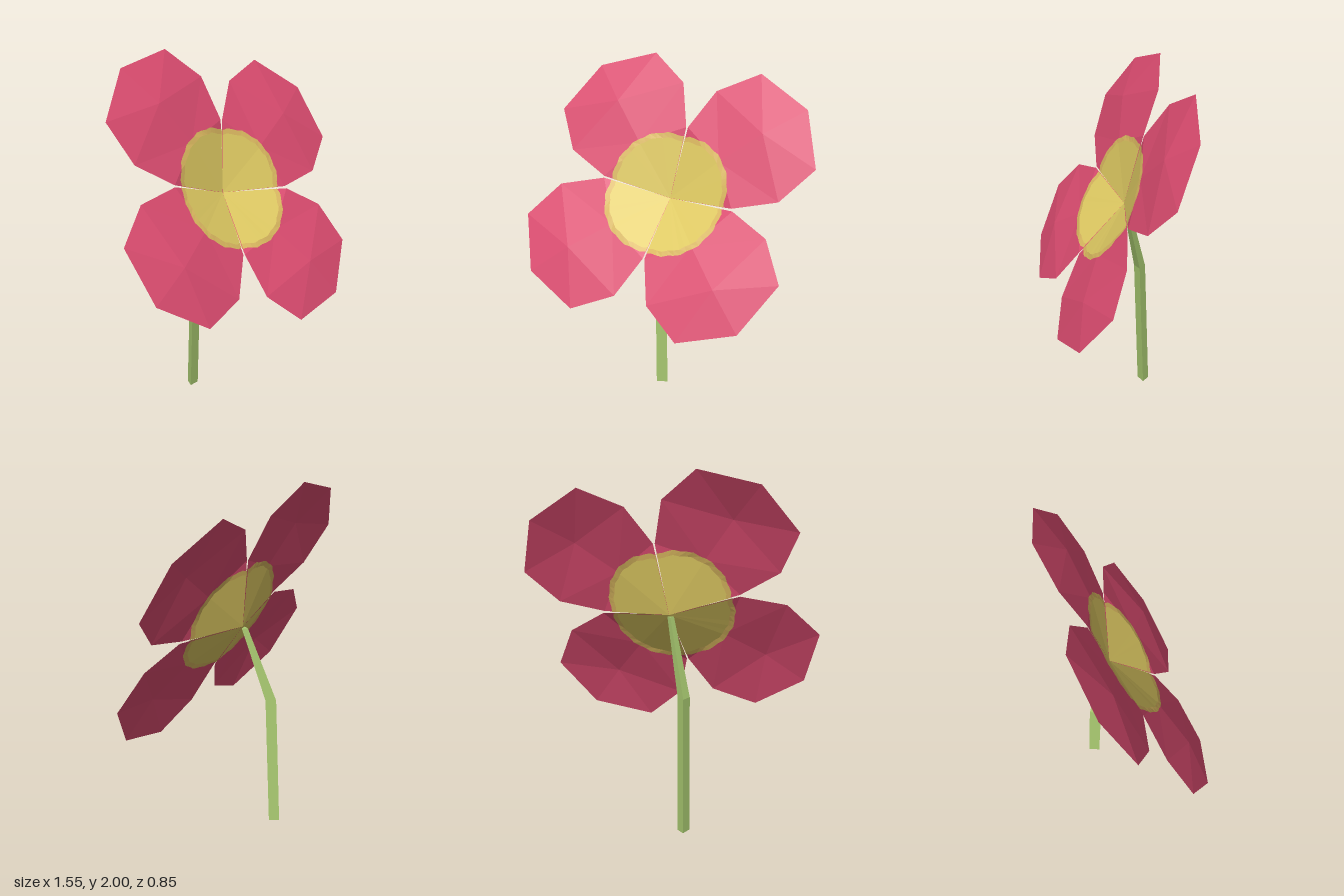
import * as THREE from 'three';

const V = (a) => new THREE.Vector3(...a);
const material = (name, color) =>
  new THREE.MeshStandardMaterial({ name, color, flatShading: true, side: THREE.DoubleSide });

// Flower centre and the direction the bloom faces
const centre = V([-0.03, 1.2, -0.09]);
const facing = V([0.24, 0.43, 0.87]).normalize();

// Rim of each petal, clockwise: three points, the tip, three points
const petalRims = {
  upperRightPetal: [[0.02, 1.6, -0.19], [0.13, 1.8, -0.315], [0.355, 1.9, -0.425], [0.655, 1.72, -0.42],
    [0.775, 1.42, -0.305], [0.625, 1.245, -0.175], [0.38, 1.193, -0.09]],
  lowerRightPetal: [[0.39, 1.18, -0.085], [0.61, 1.06, -0.075], [0.74, 0.84, 0], [0.59, 0.58, 0.172],
    [0.275, 0.505, 0.297], [0.065, 0.67, 0.272], [-0.022, 0.9, 0.17]],
  lowerLeftPetal: [[-0.032, 0.9, 0.172], [-0.13, 0.7, 0.31], [-0.36, 0.61, 0.42], [-0.66, 0.78, 0.417],
    [-0.78, 1.08, 0.3], [-0.63, 1.257, 0.168], [-0.39, 1.303, 0.065]],
  upperLeftPetal: [[-0.39, 1.313, 0.063], [-0.62, 1.445, 0.07], [-0.745, 1.67, 0], [-0.59, 1.922, -0.172],
    [-0.28, 2, -0.296], [-0.07, 1.84, -0.273], [0.01, 1.6, -0.188]],
};

// Mesh from a flat list of triangle corners
function facets(name, corners, mat) {
  const geo = new THREE.BufferGeometry().setFromPoints(corners);
  geo.computeVertexNormals();
  const mesh = new THREE.Mesh(geo, mat);
  mesh.name = name;
  return mesh;
}

function makePetal(name, rim, pink, yellow, tan) {
  const group = new THREE.Group();
  group.name = name;
  const p = rim.map(V);
  const onMidline = (t, lift) => centre.clone().lerp(p[3], t).addScaledVector(facing, lift);
  const inner = onMidline(0.385, 0.067), outer = onMidline(0.7, 0.065);

  // Blade: sloping base, then a nearly flat end with a soft ridge
  group.add(facets('petalBlade', [
    centre, inner, p[0], centre, p[6], inner,
    inner, p[1], p[0], inner, p[6], p[5],
    inner, outer, p[1], inner, p[5], outer,
    outer, p[2], p[1], outer, p[5], p[4],
    outer, p[3], p[2], outer, p[4], p[3],
  ], pink));

  // Point on the petal: s sweeps across it, scale runs from the centre to the patch edge
  const steps = 16;
  function patchPoint(i, scale, side) {
    const s = i / steps;
    const edge = s < 0.5 ? p[0].clone().lerp(inner, s * 2) : inner.clone().lerp(p[6], s * 2 - 1);
    const arm = edge.sub(centre), length = arm.length();
    const r = scale * (0.357 + 0.028 * Math.sin(Math.PI * s) + ((i * 5) % 3 - 1) * 0.004);
    const point = centre.clone().addScaledVector(arm, Math.min(r / length, 1));
    if (r > length) point.addScaledVector(arm.projectOnPlane(facing).normalize(), r - length);
    return point.addScaledVector(facing, side * 0.004);
  }

  // Yellow heart with a ragged tan edge, on both faces
  const heart = [], fringe = [];
  for (const side of [1, -1]) {
    const mid = centre.clone().addScaledVector(facing, side * 0.004);
    for (let i = 0; i < steps; i++) {
      const a = patchPoint(i, 0.92, side), b = patchPoint(i + 1, 0.92, side);
      const c = patchPoint(i, 1, side), d = patchPoint(i + 1, 1, side);
      heart.push(mid, b, a);
      fringe.push(a, b, c, b, d, c);
    }
  }
  group.add(facets('petalHeart', heart, yellow), facets('heartFringe', fringe, tan));
  return group;
}

// Bent three-sided stem, narrowing towards the bloom
function makeStem(mat) {
  const section = [[0.037, 0.002], [-0.023, 0.032], [-0.013, -0.033]];
  const rings = [[-0.177, 0, -0.217, 1], [-0.163, 0.76, -0.187, 1], [-0.042, 1.19, -0.097, 0.55]]
    .map(([x, y, z, k]) => section.map(([u, w]) => V([x + u * k, y, z + w * k])));
  const corners = [];
  for (let r = 0; r < 2; r++) {
    for (let i = 0; i < 3; i++) {
      const j = (i + 1) % 3;
      const a = rings[r][i], b = rings[r][j], c = rings[r + 1][i], d = rings[r + 1][j];
      corners.push(a, c, b, b, c, d);
    }
  }
  corners.push(...rings[0], rings[2][2], rings[2][1], rings[2][0]);
  // Outward-facing corner order
  for (let i = 0; i < corners.length; i += 3) {
    [corners[i + 1], corners[i + 2]] = [corners[i + 2], corners[i + 1]];
  }
  return facets('stem', corners, mat);
}

export function createModel() {
  const model = new THREE.Group();
  model.name = 'flower';
  const pink = material('petalPink', 0xdc4c70);
  const yellow = material('heartYellow', 0xdfca62);
  const tan = material('fringeTan', 0xd9b75f);
  const green = material('stemGreen', 0xabcc72);
  for (const [name, rim] of Object.entries(petalRims)) {
    model.add(makePetal(name, rim, pink, yellow, tan));
  }
  model.add(makeStem(green));
  return model;
}
